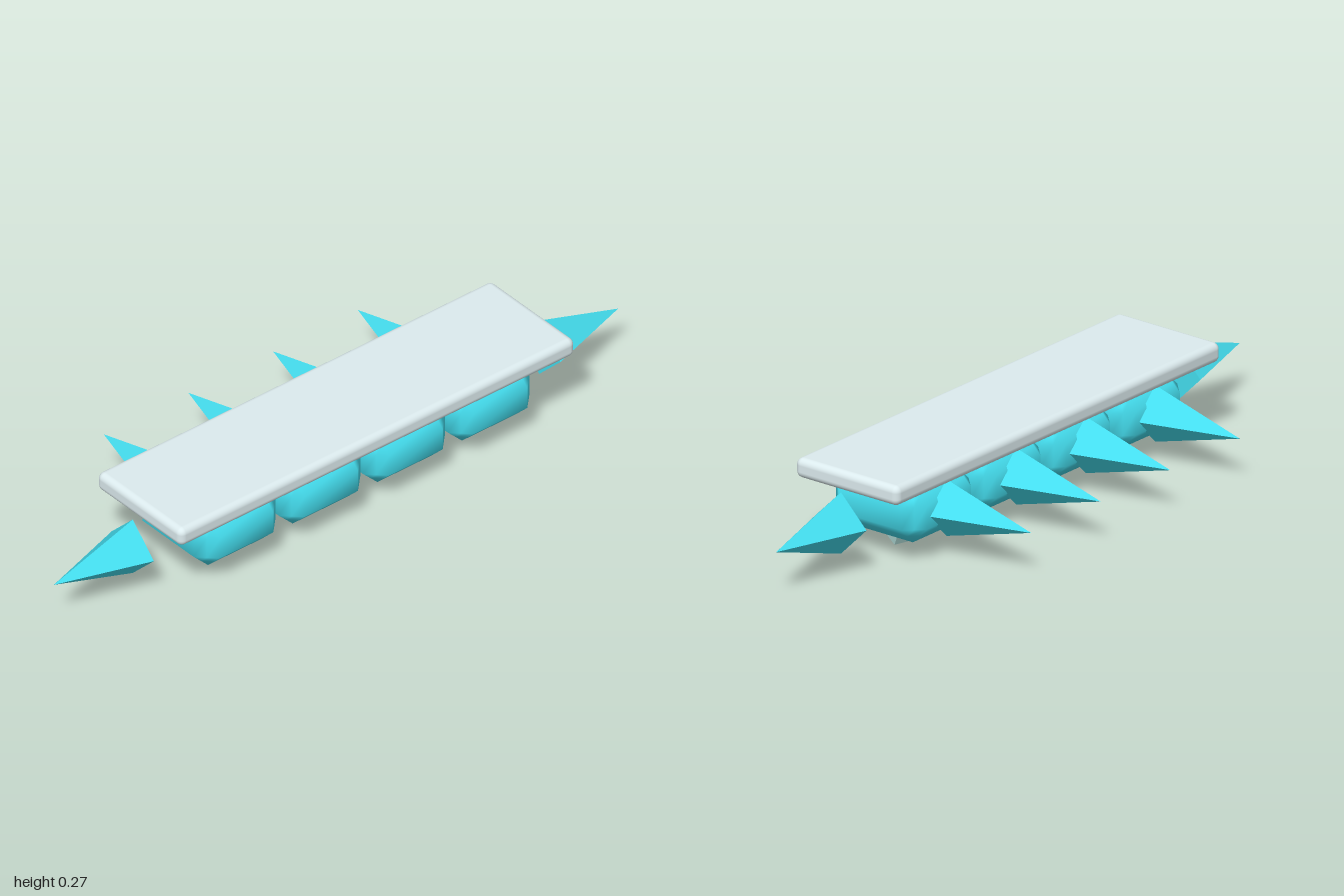
import * as THREE from 'three';
import { RoundedBoxGeometry } from 'three/addons/geometries/RoundedBoxGeometry.js';
import { mergeVertices } from 'three/addons/utils/BufferGeometryUtils.js';

const AXIS_Y = 0.135, AXIS_Z = 0.136;

// Box with single-step chamfers on every edge and smooth normals
function chamferedBox(w, h, d, c) {
  const geo = new THREE.BoxGeometry(1, 1, 1, 3, 3, 3);
  geo.deleteAttribute('uv');
  geo.deleteAttribute('normal');
  const pos = geo.attributes.position;
  const half = [w / 2 - c, h / 2 - c, d / 2 - c];
  for (let i = 0; i < pos.count; i++) {
    const p = [pos.getX(i), pos.getY(i), pos.getZ(i)];
    const outer = p.map(v => Math.abs(v) > 0.4);
    const share = c / outer.filter(Boolean).length;
    pos.setXYZ(i, ...p.map((v, k) => Math.sign(v) * (half[k] + (outer[k] ? share : 0))));
  }
  const merged = mergeVertices(geo);
  merged.computeVertexNormals();
  return merged;
}

export function createModel() {
  const model = new THREE.Group();
  model.name = 'spikedBar';

  const cyan = new THREE.MeshStandardMaterial({ color: 0x44ddee });
  const cyanFlat = new THREE.MeshStandardMaterial({ color: 0x44ddee, flatShading: true });
  const pale = new THREE.MeshStandardMaterial({ color: 0xdcebee });
  const gemMat = new THREE.MeshStandardMaterial({ color: 0xbfeeea, flatShading: true });

  function add(name, geometry, material, x, y, z) {
    const mesh = new THREE.Mesh(geometry, material);
    mesh.name = name;
    mesh.position.set(x, y, z);
    model.add(mesh);
  }

  // Top plank
  add('topPlank', new RoundedBoxGeometry(1.4, 0.058, 0.362, 4, 0.02), pale, 0, 0.246, AXIS_Z);

  // Four blocks, each with a gem below and a spike behind
  const blockGeo = chamferedBox(0.29, 0.166, 0.32, 0.05);
  const gemGeo = new THREE.IcosahedronGeometry(0.075, 0);
  const backSpikeGeo = new THREE.ConeGeometry(0.083, 0.298, 4).rotateX(-Math.PI / 2);
  for (const x of [-0.45, -0.15, 0.15, 0.45]) {
    add('block', blockGeo, cyan, x, AXIS_Y, AXIS_Z);
    add('gem', gemGeo, gemMat, x, 0.064, AXIS_Z);
    add('backSpike', backSpikeGeo, cyanFlat, x, AXIS_Y, -0.164);
  }

  // Floating spikes at both ends
  for (const side of [-1, 1]) {
    const geo = new THREE.ConeGeometry(0.09, 0.28, 4).rotateZ(-side * Math.PI / 2);
    add(side > 0 ? 'leftSpike' : 'rightSpike', geo, cyanFlat, side * 0.86, AXIS_Y, AXIS_Z);
  }

  return model;
}
